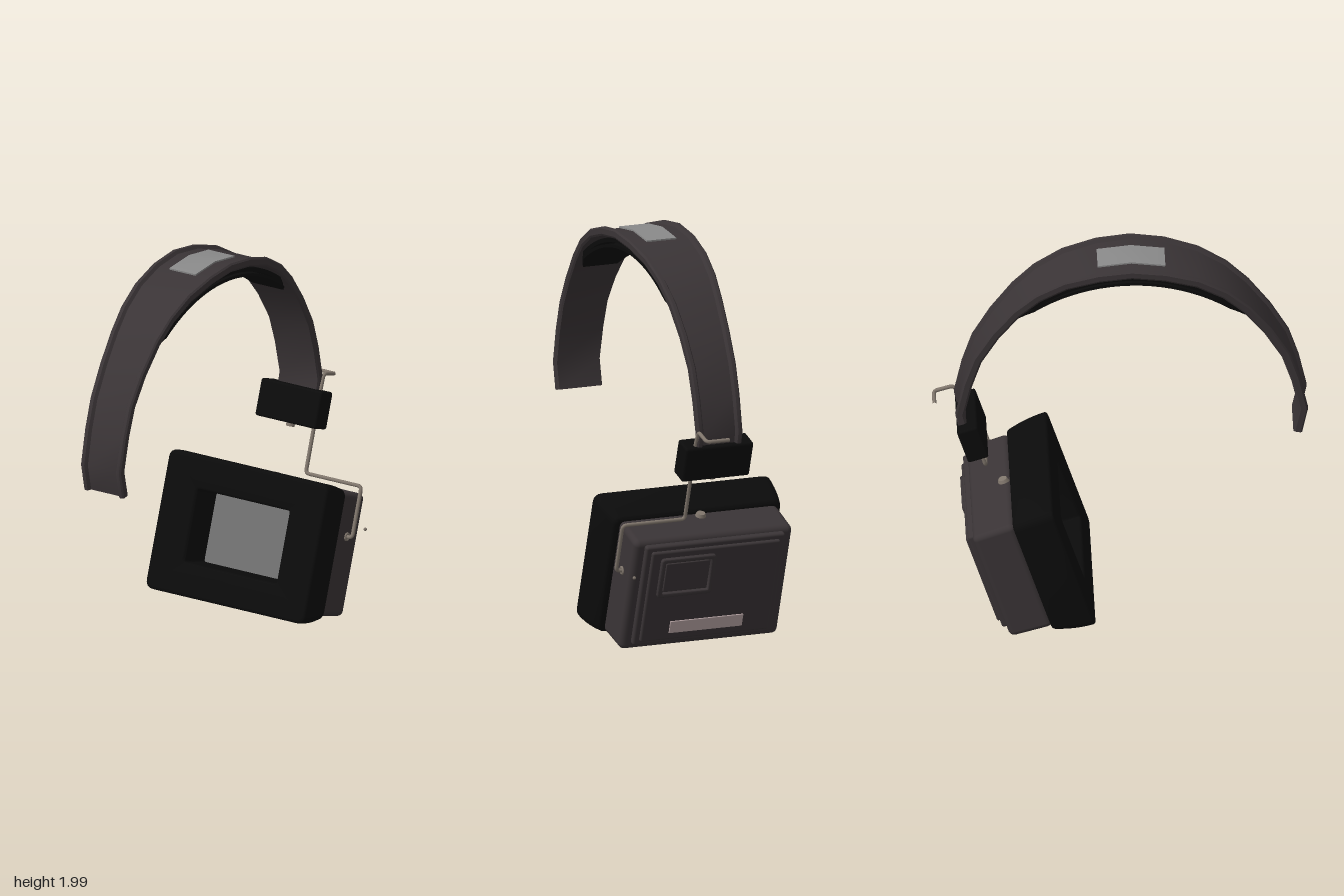
import * as THREE from 'three';
import { toCreasedNormals } from 'three/addons/utils/BufferGeometryUtils.js';
import { RoundedBoxGeometry } from 'three/addons/geometries/RoundedBoxGeometry.js';

const mat = (color) => new THREE.MeshStandardMaterial({ color });
const V3 = (x, y, z) => new THREE.Vector3(x, y, z);
const TILT = THREE.MathUtils.degToRad(18);

// Sweep a closed (outward, z) section along a path in the xy plane; section(i) gives the loop at point i
function sweep(path, section) {
  const pos = [], idx = [];
  const loops = path.map((_, i) => section(i));
  const n = loops[0].length, last = path.length - 1;
  path.forEach(([x, y], i) => {
    const a = path[Math.max(i - 1, 0)], b = path[Math.min(i + 1, last)];
    const len = Math.hypot(b[0] - a[0], b[1] - a[1]);
    const nx = -(b[1] - a[1]) / len, ny = (b[0] - a[0]) / len;
    for (const [o, z] of loops[i]) pos.push(x + nx * o, y + ny * o, z);
  });
  for (let i = 0; i < last; i++) {
    for (let j = 0; j < n; j++) {
      const a = i * n + j, b = i * n + (j + 1) % n;
      idx.push(a, b, b + n, a, b + n, a + n);
    }
  }
  const cap = (i) => THREE.ShapeUtils.triangulateShape(loops[i].map(([o, z]) => new THREE.Vector2(o, z)), []);
  for (const [a, b, c] of cap(0)) idx.push(a, c, b);
  for (const [a, b, c] of cap(last)) idx.push(last * n + a, last * n + b, last * n + c);
  const g = new THREE.BufferGeometry();
  g.setAttribute('position', new THREE.Float32BufferAttribute(pos, 3));
  g.setIndex(idx);
  return toCreasedNormals(g, 0.5);
}
const flatSection = (o0, o1, w) => [[o0, -w], [o1, -w], [o1, w], [o0, w]];

// Circular arc through two level tips and a crown
function arc(cx, half, tipY, topY, n) {
  const h = topY - tipY, r = (half * half + h * h) / (2 * h), a = Math.asin(half / r);
  return Array.from({ length: n + 1 }, (_, i) => {
    const t = a * (2 * i / n - 1);
    return [cx + r * Math.sin(t), topY - r + r * Math.cos(t)];
  });
}

// Wire with small rounded bends
function wire(points, radius, bend) {
  const path = new THREE.CurvePath();
  let from = points[0];
  for (let i = 1; i < points.length - 1; i++) {
    const p = points[i], next = points[i + 1];
    const p0 = p.clone().add(from.clone().sub(p).setLength(bend));
    const p1 = p.clone().add(next.clone().sub(p).setLength(bend));
    path.add(new THREE.LineCurve3(from, p0));
    path.add(new THREE.QuadraticBezierCurve3(p0, p, p1));
    from = p1;
  }
  path.add(new THREE.LineCurve3(from, points[points.length - 1]));
  return new THREE.TubeGeometry(path, 140, radius, 8);
}

function roundRect(target, w, h, r) {
  const x = w / 2, y = h / 2;
  target.moveTo(-x + r, -y).lineTo(x - r, -y).quadraticCurveTo(x, -y, x, -y + r)
    .lineTo(x, y - r).quadraticCurveTo(x, y, x - r, y).lineTo(-x + r, y)
    .quadraticCurveTo(-x, y, -x, y - r).lineTo(-x, -y + r).quadraticCurveTo(-x, -y, -x + r, -y);
  return target;
}

// Rectangular ring facing +x: z width, y height, opening size, x depth
function ring(w, h, r, holeW, holeH, depth, steps, bevel) {
  const s = roundRect(new THREE.Shape(), w - 2 * bevel, h - 2 * bevel, r);
  s.holes.push(roundRect(new THREE.Path(), holeW + 2 * bevel, holeH + 2 * bevel, r));
  const g = new THREE.ExtrudeGeometry(s, {
    depth: depth - 2 * bevel, steps, curveSegments: 4, bevelEnabled: true,
    bevelThickness: bevel, bevelSize: bevel, bevelSegments: 3,
  });
  return g.translate(0, 0, bevel).rotateY(Math.PI / 2);
}

export function createModel() {
  const model = new THREE.Group();
  model.name = 'headset';
  const shell = mat(0x3a3436), black = mat(0x0b0b0b), metal = mat(0x80766c);
  const add = (parent, name, geo, material, x = 0, y = 0, z = 0) => {
    const m = new THREE.Mesh(geo, material);
    m.name = name;
    m.position.set(x, y, z);
    parent.add(m);
    return m;
  };

  // Headband: half of the outer outline, mirrored about x = -0.06
  const CX = -0.06;
  const half = [[0.85, 0.99], [0.88, 1.13], [0.84, 1.31], [0.79, 1.46], [0.70, 1.61],
    [0.59, 1.75], [0.48, 1.85], [0.34, 1.93], [0.17, 1.98], [0, 2]];
  const halfW = [0.122, 0.122, 0.124, 0.126, 0.132, 0.142, 0.155, 0.168, 0.18, 0.183];
  const path = [...half.map(([d, y]) => [CX - d, y]), ...half.slice(0, -1).reverse().map(([d, y]) => [CX + d, y])];
  add(model, 'headband', sweep(path, (i) => {
    const w = halfW[Math.min(i, path.length - 1 - i)];
    return [[-0.045, -w + 0.006], [-0.035, -w], [-0.008, -w], [0, -w + 0.008], [0, -w + 0.025], [-0.016, -w + 0.036],
      [-0.016, w - 0.036], [0, w - 0.025], [0, w - 0.008], [-0.008, w], [-0.035, w], [-0.045, w - 0.006]];
  }), shell);
  add(model, 'crownPlate', sweep(path.slice(8, 11), () => flatSection(-0.018, -0.008, 0.08)), mat(0x8a8a8a));

  // Two-layer head pad under the band
  const padWidth = (i, n) => 0.13 * Math.min(1, 0.72 + 0.14 * Math.min(i, n - i));
  add(model, 'padBacking', sweep(arc(CX, 0.575, 1.71, 1.936, 24), (i) => flatSection(-0.022, 0, padWidth(i, 24))), black);
  add(model, 'padCushion', sweep(arc(CX, 0.58, 1.69, 1.902, 24), (i) => flatSection(-0.016, 0, padWidth(i, 24))), black);

  // Slider clamp at the end of the band
  const clamp = add(model, 'sliderClamp', new RoundedBoxGeometry(0.108, 0.19, 0.37, 2, 0.012), black, 0.735, 0.99, 0);
  clamp.rotation.z = -TILT;
  const screw = add(model, 'clampScrew', new THREE.CylinderGeometry(0.022, 0.022, 0.03, 12), metal, 0.707, 0.895, 0);
  screw.rotation.z = -TILT;

  // Bent wire hanger, hooked at the top and hinged on the front of the cup
  add(model, 'wireHanger', wire([V3(0.92, 1.12, 0), V3(0.92, 1.12, 0.122), V3(0.82, 1.15, 0.122), V3(0.79, 1.08, 0.125),
    V3(0.66, 0.67, 0.125), V3(0.66, 0.67, 0.465), V3(0.58, 0.42, 0.465), V3(0.58, 0.42, 0.41)], 0.01, 0.022), metal);
  add(model, 'hingeWasher', new THREE.TorusGeometry(0.016, 0.007, 8, 16), metal, 0.58, 0.42, 0.432);
  add(model, 'sidePin', new THREE.SphereGeometry(0.009, 8, 6), metal, 0.735, 0.415, 0.435);

  // Ear cup, built upright then tilted: x points outward, y up along the cup
  const cup = new THREE.Group();
  cup.name = 'earCup';
  cup.rotation.z = -TILT;
  model.add(cup);
  const slab = (name, x0, x1, y0, y1, z0, z1, r, material) => add(cup, name,
    new RoundedBoxGeometry(x1 - x0, y1 - y0, z1 - z0, 3, r), material, (x0 + x1) / 2, (y0 + y1) / 2, (z0 + z1) / 2);

  // Ear cushion, narrowing toward the housing
  const cushion = ring(0.97, 0.71, 0.03, 0.56, 0.37, 0.22, 6, 0.015);
  const p = cushion.attributes.position;
  for (let i = 0; i < p.count; i++) {
    const t = Math.max(0, p.getX(i) / 0.22) ** 2;
    p.setY(i, p.getY(i) * (1 - 0.075 * t));
    p.setZ(i, p.getZ(i) * (1 - 0.06 * t));
  }
  add(cup, 'earCushion', toCreasedNormals(cushion, 0.6), black, 0.092, 0.485, 0);
  slab('speakerPanel', 0.26, 0.312, 0.29, 0.68, -0.29, 0.29, 0.005, mat(0x707070));

  // Housing, tapering slightly outward, with stepped cover plates
  const housing = slab('housing', 0.305, 0.528, 0.166, 0.804, -0.432, 0.432, 0.03, shell);
  const hp = housing.geometry.attributes.position;
  for (let i = 0; i < hp.count; i++) {
    const k = 1 - 0.012 * (hp.getX(i) / 0.11 + 1);
    hp.setY(i, hp.getY(i) * k);
  }
  slab('outerCover', 0.5, 0.555, 0.212, 0.778, -0.38, 0.38, 0.012, shell);
  slab('innerCover', 0.52, 0.572, 0.238, 0.752, -0.35, 0.35, 0.01, shell);
  add(cup, 'badgeFrame', toCreasedNormals(ring(0.298, 0.222, 0.012, 0.25, 0.175, 0.03, 1, 0.006), 0.6), shell, 0.561, 0.608, 0.152);
  slab('badgePanel', 0.56, 0.582, 0.528, 0.688, 0.034, 0.27, 0.004, shell);
  slab('labelStrip', 0.56, 0.577, 0.277, 0.345, -0.2, 0.2, 0.003, mat(0xb8a5a5));

  // Round knob on top of the housing
  add(cup, 'topKnob', new THREE.CylinderGeometry(0.022, 0.03, 0.022, 16), metal, 0.345, 0.808, 0);
  return model;
}
